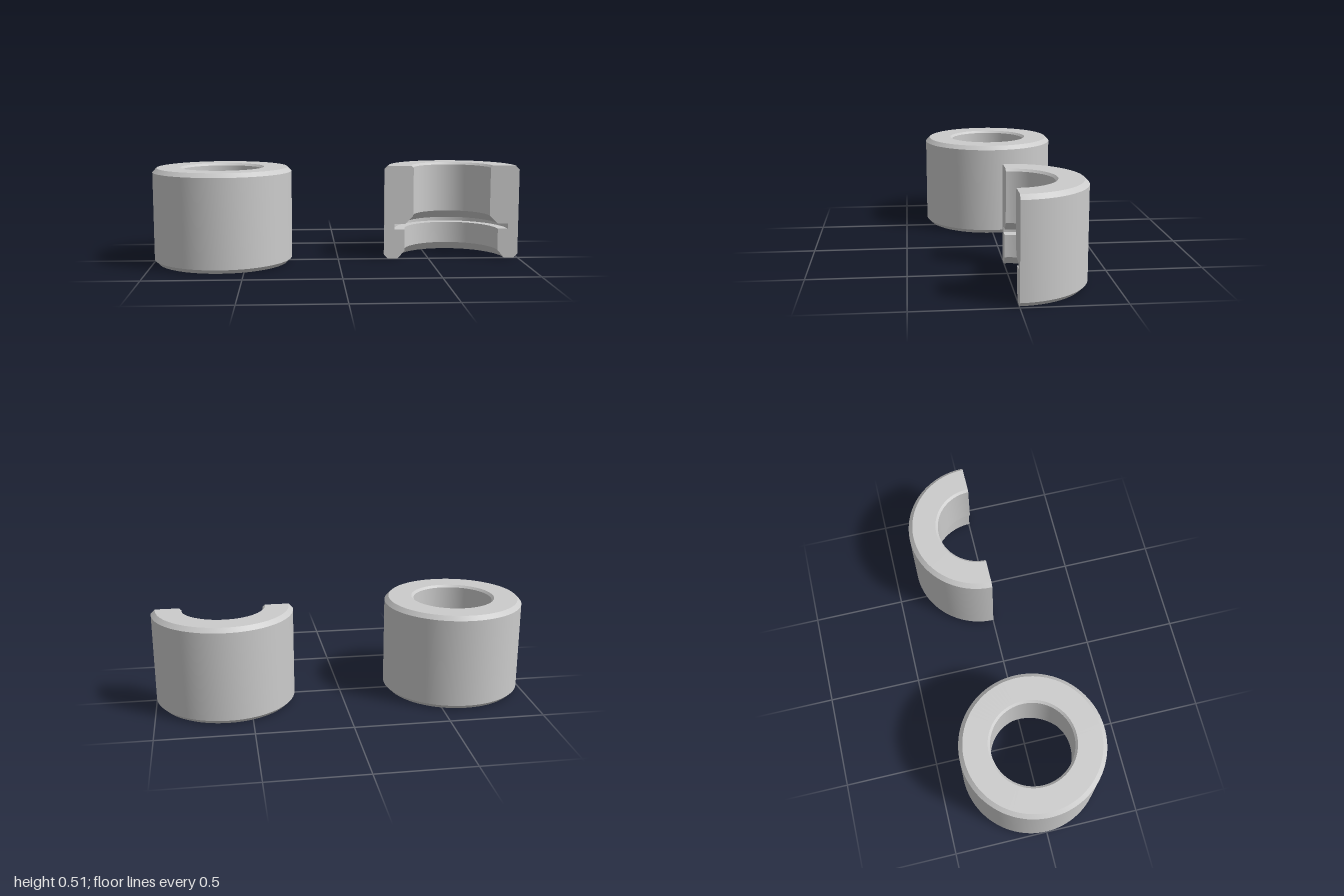
import * as THREE from 'three';
import { toCreasedNormals } from 'three/addons/utils/BufferGeometryUtils.js';

const H = 0.515, R = 0.373, C = 0.022; // height, outer radius, outer chamfer
const OFFSET = 0.627;

// Wall section (radius, height), anticlockwise from the bottom inner edge
const profile = [
  [0.298, 0], [R - C, 0], [R, C], [R, H - C], [R - C, H], // outside
  [0.225, H], [0.213, H - 0.012], [0.213, 0.237],         // upper bore
  [0.257, 0.193], [0.316, 0.193], [0.316, 0.163],         // cone and groove
  [0.26, 0.163], [0.26, 0.044],                           // lower bore
].map(([r, y]) => new THREE.Vector2(r, y));

export function createModel() {
  const model = new THREE.Group();
  const material = new THREE.MeshStandardMaterial({ color: 0xcccccc });

  const ring = (segments, start, sweep) => toCreasedNormals(
    new THREE.LatheGeometry([...profile, profile[0].clone()], segments, start, sweep), 0.4);
  const add = (parent, name, geometry) => {
    const mesh = new THREE.Mesh(geometry, material);
    mesh.name = name;
    parent.add(mesh);
    return mesh;
  };

  // Complete bushing
  add(model, 'bushing', ring(96, 0, Math.PI * 2)).position.x = -OFFSET;

  // Bushing cut in half, showing its section
  const half = new THREE.Group();
  half.name = 'halfBushing';
  half.position.x = OFFSET;
  add(half, 'halfWall', ring(48, Math.PI / 2, Math.PI));
  for (const [name, side] of [['leftCutFace', 1], ['rightCutFace', -1]]) {
    const section = new THREE.Shape(profile.map(p => new THREE.Vector2(p.x * side, p.y)));
    add(half, name, new THREE.ShapeGeometry(section));
  }
  model.add(half);
  return model;
}
